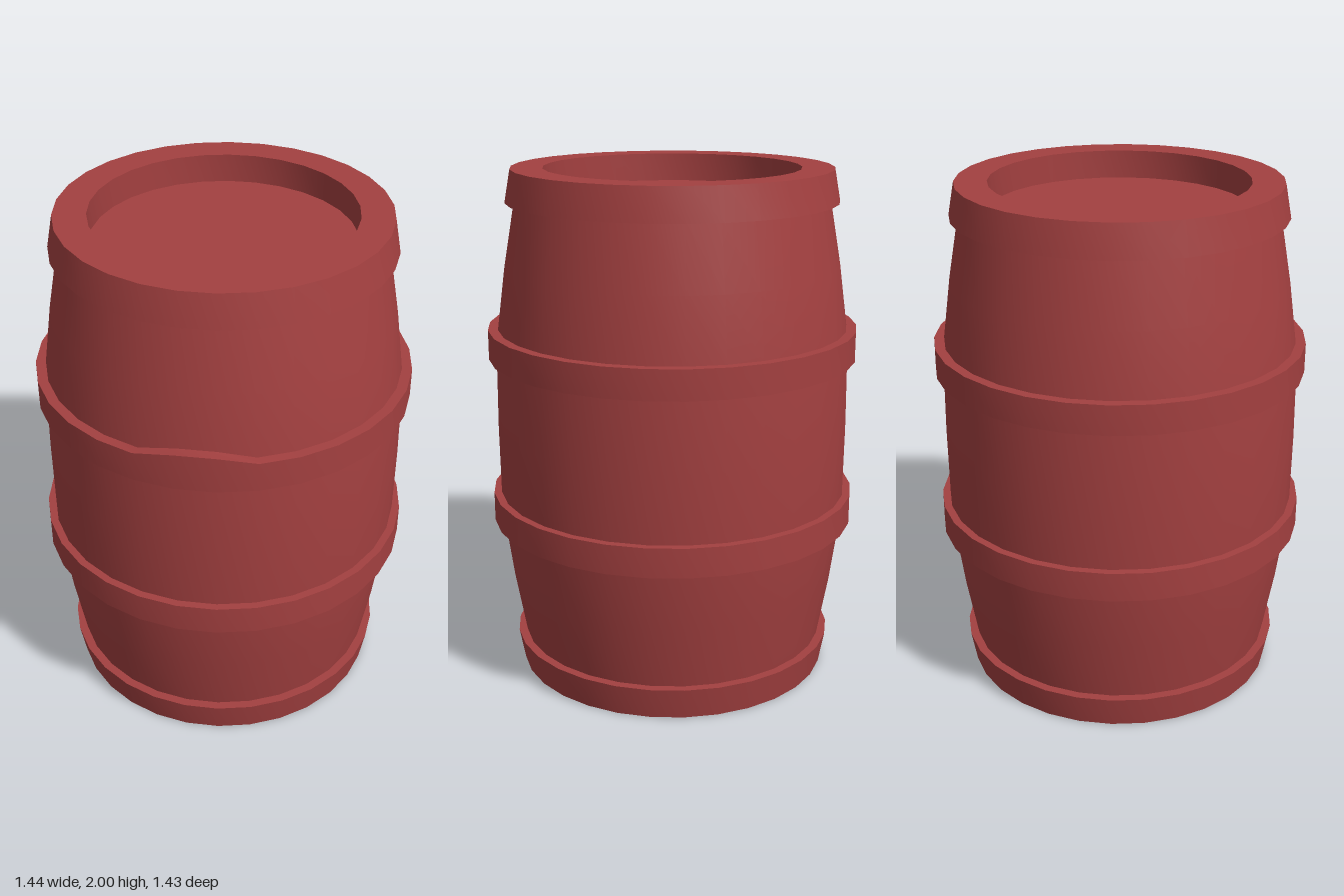
import * as THREE from 'three';
import { toCreasedNormals } from 'three/addons/utils/BufferGeometryUtils.js';

const SIDES = 30;
const STEP = (Math.PI * 2) / SIDES;

export function createModel() {
  const barrel = new THREE.Group();
  barrel.name = 'barrel';
  const material = new THREE.MeshStandardMaterial({ color: 0xa34040 });

  // Revolve a profile of [radius, y]; the sides face forwards as flats
  function turn(name, profile, adjust) {
    const points = profile.map(([r, y]) => new THREE.Vector2(r, y));
    const geometry = new THREE.LatheGeometry(points, SIDES, STEP / 2);
    if (adjust) adjust(geometry.attributes.position);
    const mesh = new THREE.Mesh(toCreasedNormals(geometry, 0.6), material);
    mesh.name = name;
    barrel.add(mesh);
  }

  // Mirror a profile top to bottom, keeping its faces outward
  const flip = (profile) => profile.map(([r, y]) => [r, 2 - y]).reverse();

  // Bulging staves
  const lowerHalf = [[0.605, 0.12], [0.649, 0.37], [0.683, 0.62], [0.69, 0.73]];
  turn('staves', [...lowerHalf, [0.693, 1], ...flip(lowerHalf)]);

  // End rims with their recessed heads
  const bottomEnd = [[0, 0.11], [0.493, 0.11], [0.493, 0], [0.617, 0], [0.64, 0.125], [0.6, 0.125]];
  turn('bottomRim', bottomEnd);
  turn('topRim', flip(bottomEnd));

  // Middle hoops
  const hoop = (y0, y1) => [[0.675, y0], [0.72, y0], [0.72, y1], [0.675, y1]];
  turn('lowerHoop', hoop(0.615, 0.73));

  // The upper hoop's top edge is bent up across one flat at the front
  turn('upperHoop', hoop(1.275, 1.39), (position) => {
    for (let i = 0; i < position.count; i++) {
      const angle = Math.atan2(position.getX(i), position.getZ(i));
      const onBend = Math.abs(angle + STEP) < STEP * 0.6;
      if (onBend && position.getY(i) > 1.35) position.setY(i, 1.418);
    }
  });

  return barrel;
}
